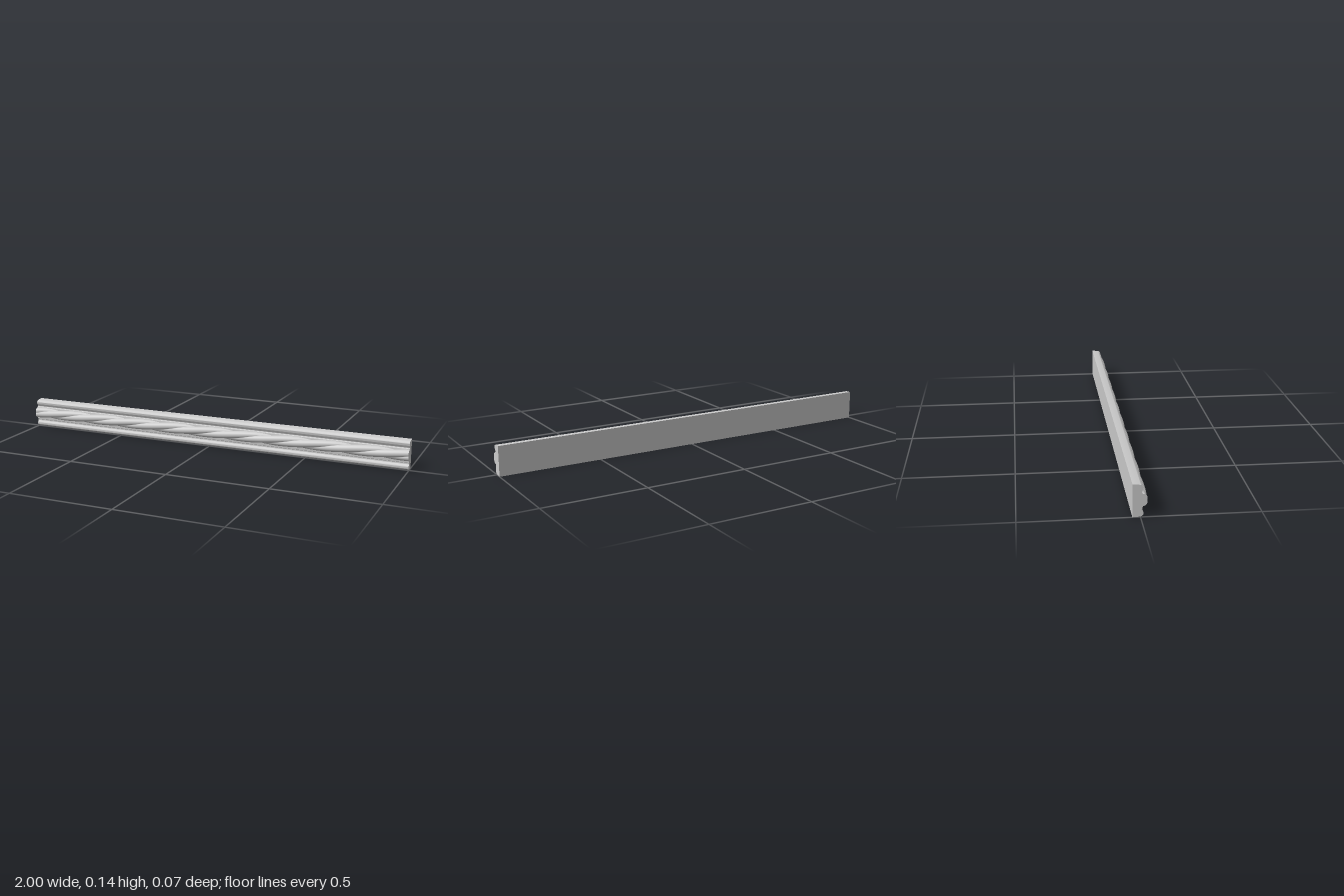
import * as THREE from 'three';
import { toCreasedNormals } from 'three/addons/utils/BufferGeometryUtils.js';

const LENGTH = 2, HEIGHT = 0.143, BACK = -0.033;
const material = new THREE.MeshStandardMaterial({ color: 0xcccccc });

// Moulded backing strip: flat back, a bead along each long edge, a cove beside the rope
function createBacking() {
  const half = [ // [z, y] from the bottom edge to the cove
    [-0.005, 0.0015], [0.005, 0.004], [0.011, 0.010], [0.0125, 0.017],
    [0.010, 0.024], [0.006, 0.030], [0.005, 0.036], [0.009, 0.044],
  ];
  const upper = half.map(([z, y]) => [z, HEIGHT - y]).reverse();
  const front = new THREE.SplineCurve(
    [...half, ...upper].map(([z, y]) => new THREE.Vector2(-z, y)));
  const shape = new THREE.Shape([
    new THREE.Vector2(-BACK, HEIGHT),
    new THREE.Vector2(-BACK, 0),
    ...front.getPoints(60),
  ]);
  const geo = new THREE.ExtrudeGeometry(shape, { depth: LENGTH, bevelEnabled: false });
  geo.translate(0, 0, -LENGTH / 2);
  geo.rotateY(Math.PI / 2);
  const mesh = new THREE.Mesh(toCreasedNormals(geo, 0.6), material);
  mesh.name = 'mouldedBacking';
  return mesh;
}

// Three-strand rope: its lobed cross-section turns steadily along x
const ROPE = { y: 0.0745, z: 0.005, radius: 0.028, twist: (2 * Math.PI) / 0.6, arc: 1.85 };

function ropePoint(x, angle) {
  const lobe = Math.abs(Math.sin(1.5 * (angle - ROPE.twist * x)));
  const r = ROPE.radius * (0.72 + 0.28 * Math.pow(lobe, 0.8));
  return [x, ROPE.y + r * Math.sin(angle), ROPE.z + r * Math.cos(angle)];
}

function createRope() {
  const nx = 320, na = 56, positions = [], indices = [];
  const angleAt = (j) => -ROPE.arc + (2 * ROPE.arc * j) / na;
  for (let i = 0; i <= nx; i++) {
    for (let j = 0; j <= na; j++) {
      positions.push(...ropePoint(-LENGTH / 2 + (LENGTH * i) / nx, angleAt(j)));
    }
  }
  for (let i = 0; i < nx; i++) {
    for (let j = 0; j < na; j++) {
      const a = i * (na + 1) + j, b = a + na + 1;
      indices.push(a, b, b + 1, a, b + 1, a + 1);
    }
  }
  // Flat ends, with their own vertices so the rim stays sharp
  for (const side of [-1, 1]) {
    const x = (side * LENGTH) / 2, centre = positions.length / 3;
    positions.push(x, ROPE.y, ROPE.z);
    for (let j = 0; j <= na; j++) positions.push(...ropePoint(x, angleAt(j)));
    for (let j = 1; j <= na; j++) {
      const a = centre + j, b = a + 1;
      indices.push(centre, ...(side > 0 ? [b, a] : [a, b]));
    }
  }
  const geo = new THREE.BufferGeometry();
  geo.setAttribute('position', new THREE.Float32BufferAttribute(positions, 3));
  geo.setIndex(indices);
  geo.computeVertexNormals();
  const mesh = new THREE.Mesh(geo, material.clone());
  mesh.material.side = THREE.DoubleSide;
  mesh.name = 'twistedRope';
  return mesh;
}

export function createModel() {
  const group = new THREE.Group();
  group.name = 'ropeMoulding';
  group.add(createBacking(), createRope());
  return group;
}
